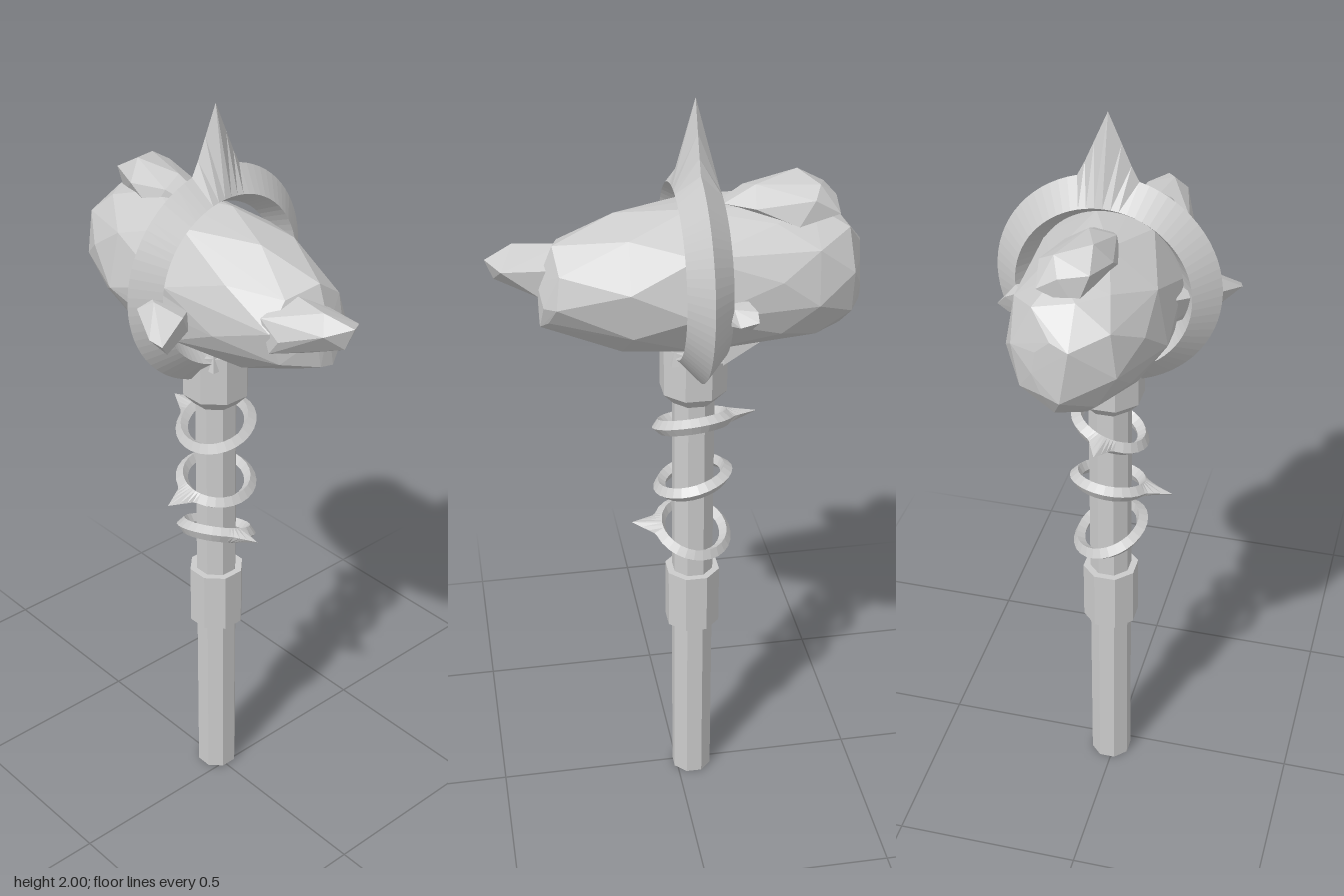
import * as THREE from 'three';
import { ConvexGeometry } from 'three/addons/geometries/ConvexGeometry.js';

const CX = 0.01, CZ = -0.043; // shaft axis
const mat = new THREE.MeshStandardMaterial({ color: 0xcccccc, flatShading: true, side: THREE.DoubleSide });

function add(parent, name, geometry, x = 0, y = 0, z = 0) {
  const mesh = new THREE.Mesh(geometry, mat);
  mesh.name = name;
  mesh.position.set(x, y, z);
  parent.add(mesh);
  return mesh;
}

// Octagonal lathe from [radius, y] pairs
function octagon(profile) {
  const g = new THREE.LatheGeometry(profile.map(p => new THREE.Vector2(p[0], p[1])), 8, Math.PI / 8);
  return g.toNonIndexed();
}

// Ring of diamond section in the XY plane; its outer edge rises to a spike at +y
function spikedRing(inner, ridge, outer, half, tip, slope, segments) {
  const angles = [];
  const fan = 0.36;
  for (let i = -4; i <= 4; i++) angles.push(i * fan / 4);
  for (let i = 1; i < segments; i++) angles.push(fan + (2 * Math.PI - 2 * fan) * i / segments);
  const pos = [], index = [], n = angles.length;
  for (const a of angles) {
    const line = Math.abs(a) < fan + 0.2 ? tip / (Math.cos(a) + slope * Math.sin(Math.abs(a))) : 0;
    const s = Math.sin(a), c = Math.cos(a);
    const section = [[Math.max(outer, line), 0], [ridge, half], [inner, 0], [ridge, -half]];
    for (const [r, z] of section) pos.push(r * s, r * c, z);
  }
  for (let i = 0; i < n; i++) {
    for (let k = 0; k < 4; k++) {
      const a = i * 4 + k, b = i * 4 + (k + 1) % 4;
      const c = ((i + 1) % n) * 4 + k, d = ((i + 1) % n) * 4 + (k + 1) % 4;
      index.push(a, b, c, b, d, c);
    }
  }
  const g = new THREE.BufferGeometry();
  g.setAttribute('position', new THREE.Float32BufferAttribute(pos, 3));
  g.setIndex(index);
  const flat = g.toNonIndexed();
  flat.computeVertexNormals();
  return flat;
}

function hull(points) {
  return new ConvexGeometry(points.map(p => new THREE.Vector3(...p)));
}

// Faceted boulder: hull of uneven rings along z, given as [z, x, y, rx, ry]
function boulder(rings, sides) {
  const points = [];
  rings.forEach(([z, x, y, rx, ry], i) => {
    for (let j = 0; j < sides; j++) {
      const a = (j + (i % 2) * 0.5) / sides * Math.PI * 2 + 0.2;
      const k = 1.02 + 0.03 * Math.sin(i * 5.1 + j * 2.7);
      points.push([x + Math.cos(a) * rx * k, y + Math.sin(a) * ry * k, z + 0.012 * Math.sin(i * 3 + j * 4.3)]);
    }
  });
  return hull(points);
}

export function createModel() {
  const group = new THREE.Group();
  group.name = 'stoneMace';

  // Handle
  add(group, 'shaft', octagon([[0, 0], [0.056, 0], [0.056, 1.3], [0, 1.3]]), CX, 0, CZ);
  add(group, 'gripCollar', octagon([[0.05, 0.52], [0.075, 0.52], [0.075, 0.69], [0.05, 0.69]]), CX, 0, CZ);
  add(group, 'headSocket', octagon([[0.05, 1.21], [0.06, 1.21], [0.088, 1.24], [0.088, 1.37], [0, 1.37]]), CX, 0, CZ);

  // Claws gripping the stone from the socket
  for (let i = 0; i < 4; i++) {
    const a = i * Math.PI / 2 + Math.PI / 4;
    const claw = add(group, 'socketClaw', new THREE.ConeGeometry(0.04, 0.13, 4), CX + Math.cos(a) * 0.055, 1.4, CZ + Math.sin(a) * 0.055);
    claw.rotation.y = -a;
  }
  add(group, 'rearClaw', hull([
    [-0.04, 1.32, -0.11], [0.06, 1.32, -0.11], [-0.03, 1.42, -0.1], [0.05, 1.42, -0.1],
    [-0.02, 1.362, -0.19], [0.05, 1.37, -0.2], [0.02, 1.4, -0.27], [0.02, 1.45, -0.24],
  ]));

  // Spiked ring around the head
  add(group, 'headRing', spikedRing(0.185, 0.218, 0.28, 0.056, 0.435, 2.3, 64), 0.013, 1.565, -0.044);

  // Tilted thorn rings: height, slope in x and z, thorn direction
  const thorns = [
    [1.14, 0.38, -0.1, 0, -1],
    [0.97, 0.1, -0.25, -1, 0],
    [0.81, -0.38, 0.22, 0, 1],
  ];
  for (const [y, sx, sz, dx, dz] of thorns) {
    const ring = add(group, 'thornRing', spikedRing(0.075, 0.09, 0.108, 0.02, 0.168, 2, 24), CX, y, CZ);
    const normal = new THREE.Vector3(-sx, 1, -sz).normalize();
    const up = new THREE.Vector3(dx, sx * dx + sz * dz, dz).normalize();
    const side = new THREE.Vector3().crossVectors(up, normal);
    ring.quaternion.setFromRotationMatrix(new THREE.Matrix4().makeBasis(side, up, normal));
  }

  // Main stone
  add(group, 'headStone', boulder([
    [0.335, 0.03, 1.51, 0.05, 0.055], [0.295, 0, 1.55, 0.12, 0.105], [0.14, 0.015, 1.548, 0.163, 0.167],
    [-0.03, 0.012, 1.555, 0.188, 0.188], [-0.22, 0.005, 1.558, 0.183, 0.185], [-0.33, 0.022, 1.56, 0.163, 0.172],
    [-0.405, 0.022, 1.56, 0.125, 0.145], [-0.452, 0.03, 1.55, 0.06, 0.075],
  ], 8));

  // Smaller stones fused to it
  add(group, 'frontStone', hull([
    [-0.12, 1.6, 0.26], [-0.12, 1.52, 0.29], [-0.03, 1.64, 0.27], [0.04, 1.6, 0.31], [0.035, 1.53, 0.34],
    [-0.04, 1.49, 0.28], [-0.12, 1.56, 0.32], [-0.05, 1.64, 0.395], [0.03, 1.6, 0.43], [-0.08, 1.6, 0.425],
    [-0.02, 1.615, 0.465], [-0.03, 1.56, 0.445], [-0.06, 1.53, 0.36], [0, 1.58, 0.2],
  ]));
  add(group, 'rightStone', hull([
    [-0.16, 1.58, -0.13], [-0.15, 1.5, -0.1], [-0.25, 1.56, -0.03], [-0.23, 1.585, 0.01], [-0.24, 1.5, 0],
    [-0.295, 1.53, 0.07], [-0.285, 1.52, 0.105], [-0.25, 1.48, 0.08], [-0.2, 1.56, 0.08], [-0.16, 1.5, 0.05],
    [-0.15, 1.55, 0.04],
  ]));
  add(group, 'leftStone', hull([
    [0.17, 1.55, -0.05], [0.17, 1.5, -0.05], [0.2, 1.56, -0.14], [0.19, 1.5, -0.13], [0.24, 1.55, -0.155],
    [0.26, 1.53, -0.155], [0.26, 1.52, -0.11], [0.235, 1.5, -0.14], [0.23, 1.555, -0.1],
  ]));
  add(group, 'topStone', hull([
    [-0.01, 1.73, -0.1], [0.03, 1.74, -0.11], [-0.06, 1.7, -0.2], [-0.04, 1.76, -0.17], [0.02, 1.78, -0.19],
    [0.08, 1.74, -0.18], [0.11, 1.7, -0.28], [0.1, 1.76, -0.32], [0.06, 1.785, -0.34], [-0.02, 1.8, -0.3],
    [-0.06, 1.75, -0.28], [-0.03, 1.76, -0.37], [0.04, 1.75, -0.385], [0.09, 1.72, -0.385], [0, 1.68, -0.38],
  ]));
  return group;
}
